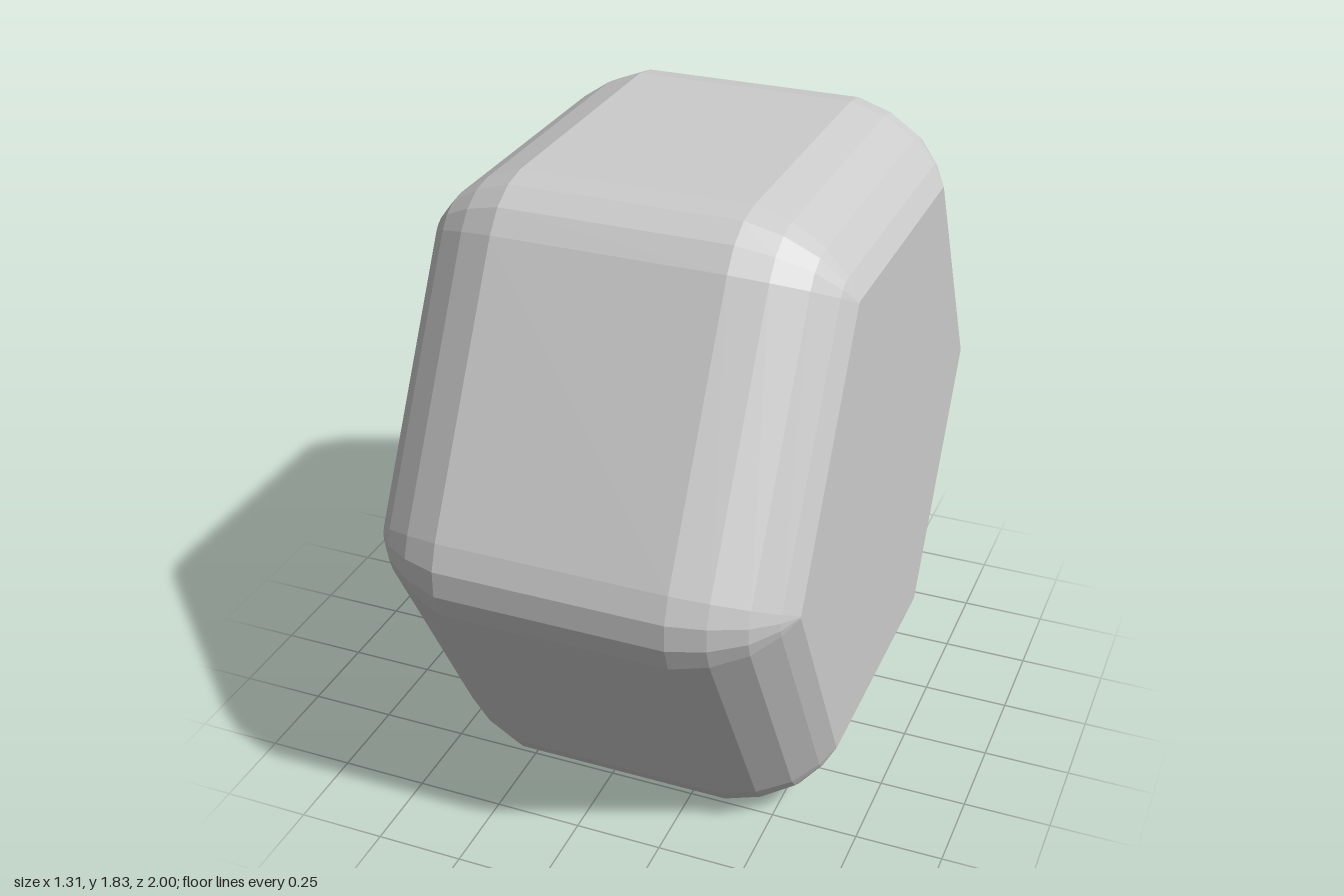
import * as THREE from 'three';

// Core hexagon corners as [z, y] around the axis, offset outwards by a rounding radius
const CORNERS = [[0.785, 0], [0.4, 0.695], [-0.4, 0.695], [-0.785, 0], [-0.4, -0.695], [0.4, -0.695]];
const ARC = [-30, -10, 10, 30];
const CENTRE_Y = 0.915;

// One cross-section: hexagon scaled by s, corners rounded with radius r, at position x
function ring(x, s, r) {
  const points = [];
  CORNERS.forEach(([z, y], k) => {
    for (const d of ARC) {
      const a = THREE.MathUtils.degToRad(60 * k + d);
      points.push([x, CENTRE_Y + y * s + r * Math.sin(a), z * s + r * Math.cos(a)]);
    }
  });
  return points;
}

export function createModel() {
  // x, hexagon scale, rounding radius: shallow dome, bevel, straight rim, bevel, flat face
  const sections = [
    [-0.66, 0.27, 0.012],
    [-0.52, 0.99, 0.012],
    [-0.5, 1, 0.06],
    [-0.45, 1, 0.125],
    [-0.37, 1, 0.18],
    [-0.27, 1, 0.22],
    [0.37, 1, 0.22],
    [0.47, 1, 0.19],
    [0.56, 1, 0.135],
    [0.62, 1, 0.065],
    [0.653, 0.995, 0.008],
  ];
  const n = CORNERS.length * ARC.length;
  const positions = sections.flatMap((s) => ring(...s)).flat();
  const index = [];

  // Skin between neighbouring sections
  for (let j = 0; j < sections.length - 1; j++) {
    for (let i = 0; i < n; i++) {
      const a = j * n + i, b = j * n + (i + 1) % n;
      index.push(a, a + n, b, b, a + n, b + n);
    }
  }

  // End caps
  const last = (sections.length - 1) * n;
  const c0 = positions.length / 3;
  positions.push(sections[0][0], CENTRE_Y, 0, sections[sections.length - 1][0], CENTRE_Y, 0);
  for (let i = 0; i < n; i++) {
    const k = (i + 1) % n;
    index.push(c0, i, k, c0 + 1, last + k, last + i);
  }

  const geometry = new THREE.BufferGeometry();
  geometry.setAttribute('position', new THREE.Float32BufferAttribute(positions, 3));
  geometry.setIndex(index);
  const flat = geometry.toNonIndexed();
  flat.computeVertexNormals();

  const body = new THREE.Mesh(flat, new THREE.MeshStandardMaterial({ color: 0xcccccc, flatShading: true }));
  body.name = 'hexagonalBody';
  const group = new THREE.Group();
  group.name = 'roundedHexagonalBlock';
  group.add(body);
  return group;
}
